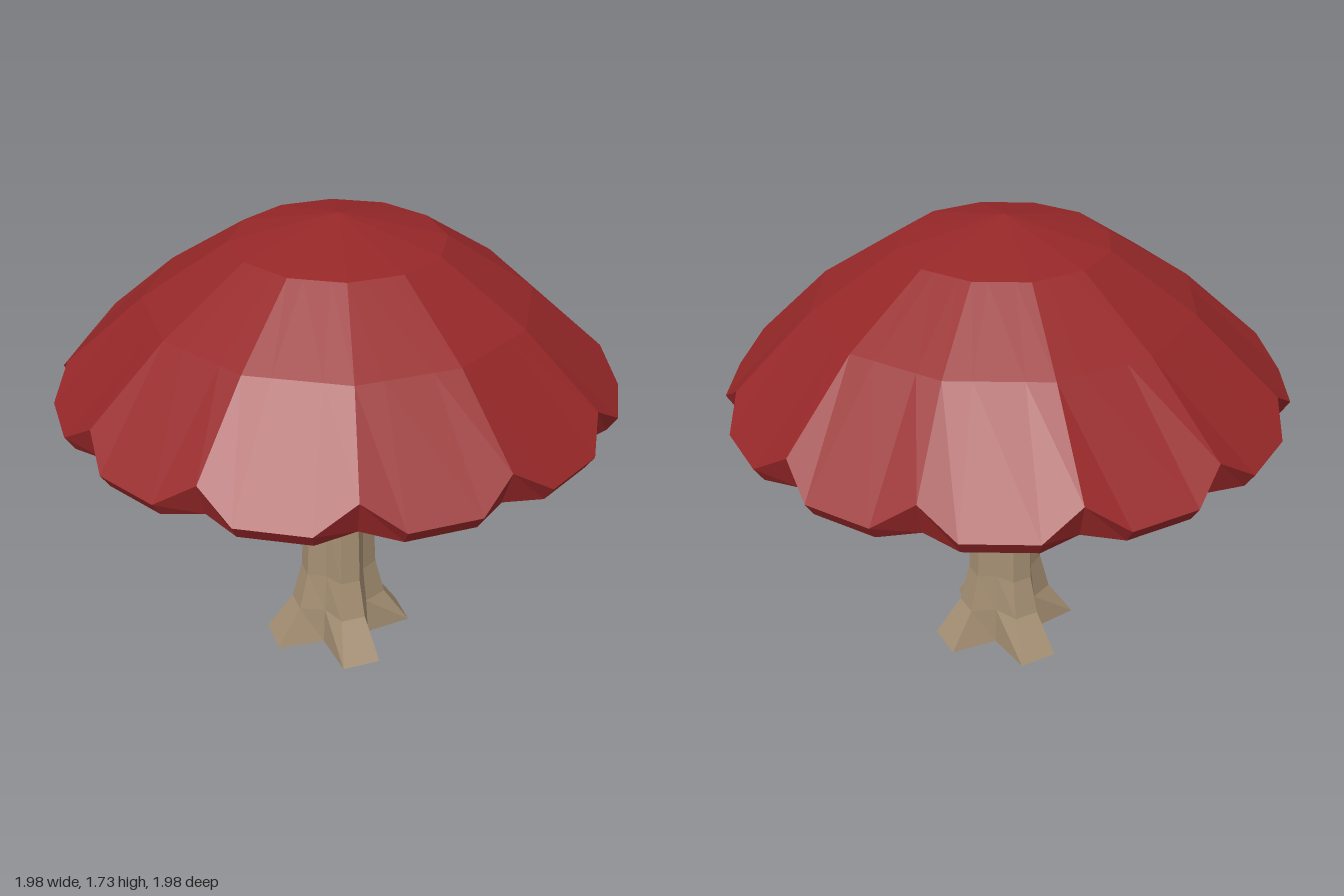
import * as THREE from 'three';

const START = -7, STEP = 30, SIDES = 12;
const mat = (name, color, side = THREE.FrontSide) => {
  const m = new THREE.MeshStandardMaterial({ color, side, flatShading: true });
  m.name = name;
  return m;
};

const polar = (deg, r, y, c) => {
  const a = THREE.MathUtils.degToRad(deg);
  return new THREE.Vector3(c + r * Math.cos(a), y, c + r * Math.sin(a));
};

// Skin closed rings of equal length, listed so that the surface faces outward
function loft(name, rings, material) {
  const pos = [];
  const tri = (a, b, c) => {
    if (a.distanceTo(b) < 1e-5 || b.distanceTo(c) < 1e-5 || a.distanceTo(c) < 1e-5) return;
    for (const p of [a, b, c]) pos.push(p.x, p.y, p.z);
  };
  for (let j = 0; j < rings.length - 1; j++) {
    const lo = rings[j], hi = rings[j + 1], n = lo.length;
    for (let i = 0; i < n; i++) {
      const k = (i + 1) % n;
      tri(lo[i], hi[i], hi[k]);
      tri(lo[i], hi[k], lo[k]);
    }
  }
  const g = new THREE.BufferGeometry();
  g.setAttribute('position', new THREE.Float32BufferAttribute(pos, 3));
  g.computeVertexNormals();
  const mesh = new THREE.Mesh(g, material);
  mesh.name = name;
  return mesh;
}

// Plain twelve-sided ring
const ring = (r, y, c) =>
  Array.from({ length: SIDES }, (_, i) => polar(START + i * STEP, r, y, c));

// Twelve-sided ring with each edge split in three, to match the scalloped rim
const splitRing = (r, y, c) => {
  const p = ring(r, y, c);
  return p.flatMap((a, i) => {
    const b = p[(i + 1) % SIDES];
    return [a, a.clone().lerp(b, 0.27), a.clone().lerp(b, 0.73)];
  });
};

// Rim ring: a notch and then two lobe corners in every sector
const scallopRing = (rNotch, yNotch, rLobe, yLobe) =>
  Array.from({ length: SIDES }, (_, i) => START + i * STEP).flatMap((d) => [
    polar(d, rNotch, yNotch, 0), polar(d + 8, rLobe, yLobe, 0), polar(d + 22, rLobe, yLobe, 0),
  ]);

// Stem ring: four lobes of two corners each, with a groove between lobes
const stemRing = (rLobe, rGroove, y) =>
  Array.from({ length: SIDES }, (_, i) =>
    polar(START + i * STEP, i % 3 === 0 ? rGroove : rLobe, y, 0.02));

export function createModel() {
  const red = mat('capRed', 0x962728);
  const tan = mat('stemTan', 0xa58f73);
  const olive = mat('gillOlive', 0x8c806a, THREE.DoubleSide);
  const group = new THREE.Group();
  group.name = 'mushroom';

  // Cap: underside lip, scalloped rim, then the faceted dome
  group.add(loft('cap', [
    splitRing(0.86, 1.075, 0),
    scallopRing(0.9, 1.07, 0.955, 1.058),
    scallopRing(0.94, 1.195, 0.988, 1.11),
    splitRing(0.665, 1.445, 0.02),
    splitRing(0.365, 1.64, 0.02),
    splitRing(0, 1.73, 0.02),
  ], red));

  // Gills: shallow cone under the cap
  group.add(loft('gills', [
    ring(0.11, 0.88, 0.02),
    ring(0.33, 1.025, 0.02),
    ring(0.74, 1.105, 0.01),
    ring(0.865, 1.075, 0),
  ], olive));

  // Stem: four root feet below, four flaring lobes above
  group.add(loft('stem', [
    stemRing(0, 0, 0.01),
    stemRing(0.28, 0.13, 0),
    stemRing(0.18, 0.12, 0.15),
    stemRing(0.143, 0.105, 0.3),
    stemRing(0.13, 0.1, 0.58),
    stemRing(0.2, 0.14, 0.87),
    stemRing(0.355, 0.24, 1.025),
    stemRing(0, 0, 1.06),
  ], tan));

  return group;
}
